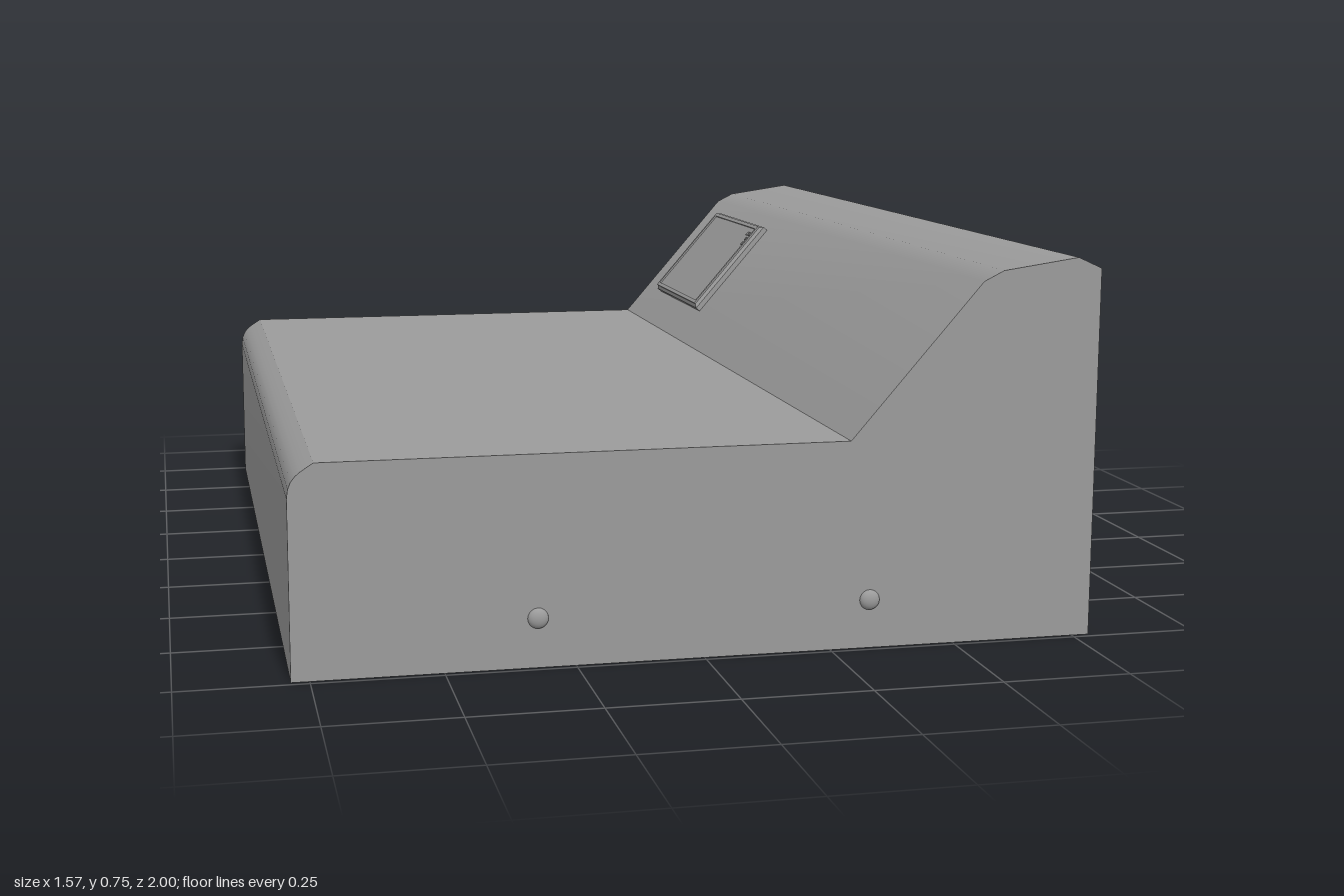
import * as THREE from 'three';
import { toCreasedNormals } from 'three/addons/utils/BufferGeometryUtils.js';

const HALF_DEPTH = 0.988;
const material = new THREE.MeshStandardMaterial({ color: 0x9b9b9b });

function add(parent, name, geometry, x = 0, y = 0, z = 0) {
  const mesh = new THREE.Mesh(geometry, material);
  mesh.name = name;
  mesh.position.set(x, y, z);
  parent.add(mesh);
  return mesh;
}

// Side profile: flat deck, sloped console, rounded edges
function bodyGeometry() {
  const s = new THREE.Shape();
  s.moveTo(-0.785, 0);
  s.lineTo(0.785, 0);
  s.lineTo(0.785, 0.73);
  s.lineTo(0.737, 0.752);
  s.lineTo(0.585, 0.73);
  s.lineTo(0.545, 0.71);
  s.lineTo(0.285, 0.41);
  s.lineTo(-0.735, 0.41);
  s.bezierCurveTo(-0.762, 0.392, -0.783, 0.385, -0.785, 0.345);
  s.closePath();
  const g = new THREE.ExtrudeGeometry(s, { depth: 2 * HALF_DEPTH, bevelEnabled: false, curveSegments: 6 });
  g.translate(0, 0, -HALF_DEPTH);
  return toCreasedNormals(g, 0.4);
}

function rectangle(target, w, h) {
  target.moveTo(-w / 2, -h / 2);
  target.lineTo(w / 2, -h / 2);
  target.lineTo(w / 2, h / 2);
  target.lineTo(-w / 2, h / 2);
  return target;
}

// Framed display; local y runs up the slope, local z points out of it
function createDisplay() {
  const display = new THREE.Group();
  display.name = 'display';
  const w = 0.425, h = 0.268, chamfer = 0.007, rim = 0.009;

  // Chamfered housing with a low raised rim around the screen
  add(display, 'displayHousing', new THREE.ExtrudeGeometry(rectangle(new THREE.Shape(), w, h), {
    depth: 0.012, bevelThickness: chamfer, bevelSize: chamfer, bevelOffset: -chamfer, bevelSegments: 1,
  }));
  const fw = w - 2 * chamfer, fh = h - 2 * chamfer;
  const outline = rectangle(new THREE.Shape(), fw, fh);
  outline.holes.push(rectangle(new THREE.Path(), fw - 2 * rim, fh - 2 * rim));
  add(display, 'displayRim', new THREE.ExtrudeGeometry(outline, { depth: 0.005, bevelEnabled: false }), 0, 0, 0.018);

  // Small buttons in the upper corner
  for (let i = 0; i < 3; i++) {
    const button = new THREE.CylinderGeometry(0.005, 0.005, 0.005, 10).rotateX(Math.PI / 2);
    add(display, 'displayButton', button, 0.185, 0.1 - i * 0.015, 0.02);
  }
  add(display, 'displaySwitch', new THREE.BoxGeometry(0.012, 0.01, 0.004), 0.167, 0.1, 0.02);

  const up = new THREE.Vector3(0.26, 0.3, 0).normalize();
  const out = new THREE.Vector3(-up.y, up.x, 0);
  display.quaternion.setFromRotationMatrix(new THREE.Matrix4().makeBasis(new THREE.Vector3(0, 0, 1), up, out));
  display.position.set(0.285, 0.41, -0.6225).addScaledVector(up, 0.225);
  return display;
}

export function createModel() {
  const model = new THREE.Group();
  model.name = 'deskConsole';
  add(model, 'body', bodyGeometry());
  model.add(createDisplay());

  // Domed bolts on both end faces
  for (const side of [1, -1]) {
    for (const x of [-0.323, 0.328]) {
      const dome = new THREE.SphereGeometry(0.02, 20, 8, 0, Math.PI * 2, 0, Math.PI / 2);
      dome.scale(1, 0.6, 1).rotateX(side * Math.PI / 2);
      add(model, side > 0 ? 'frontBolt' : 'backBolt', dome, x, 0.096, side * HALF_DEPTH);
    }
  }
  return model;
}
